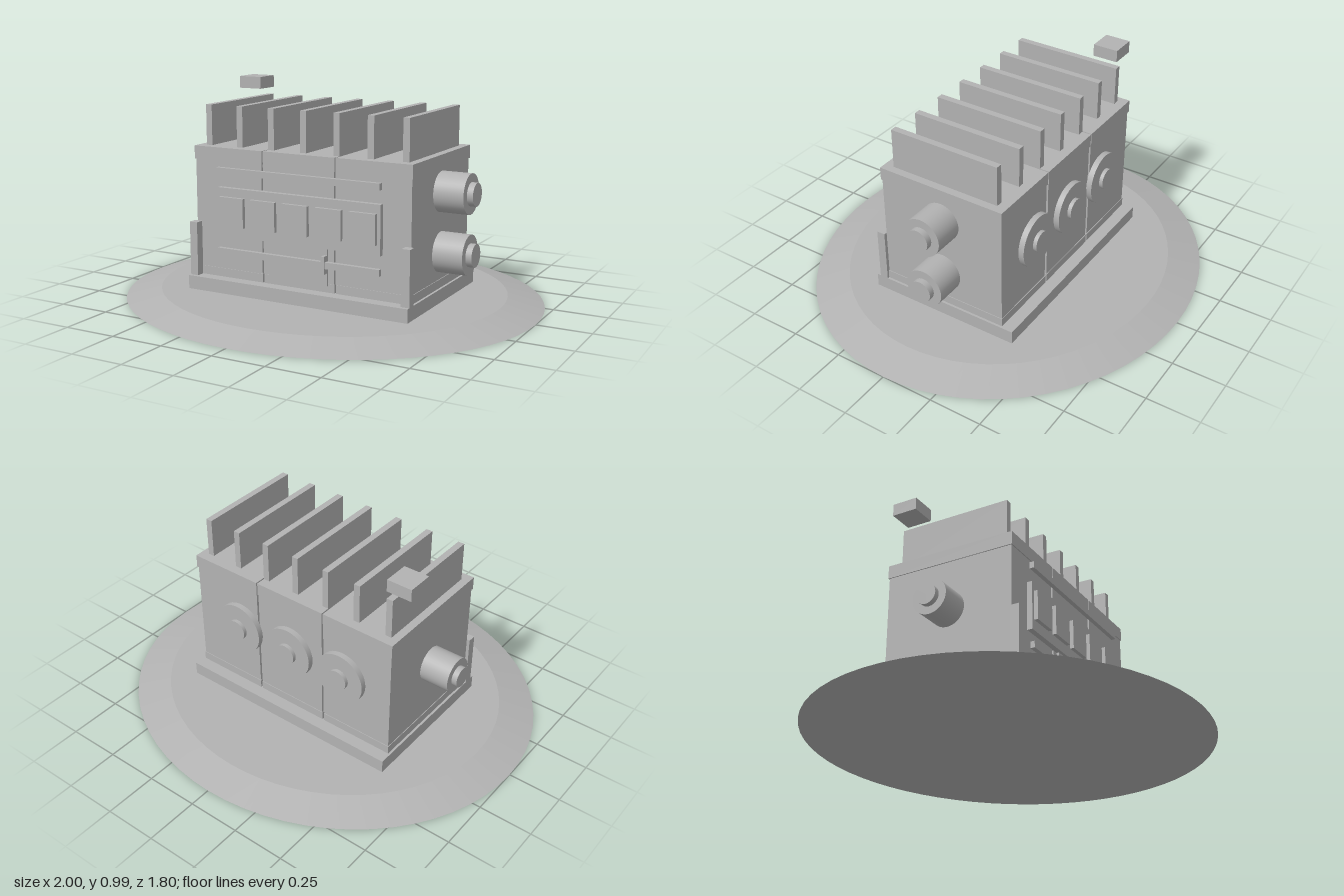
import * as THREE from 'three';

export function createModel() {
  const model = new THREE.Group();
  const grey = new THREE.MeshStandardMaterial({ color: 0xb2b2b2 });
  grey.name = 'concrete grey';

  const add = (name, geometry, parent = model) => {
    const mesh = new THREE.Mesh(geometry, grey);
    mesh.name = name;
    parent.add(mesh);
    return mesh;
  };
  // Box given by its extents on each axis
  const box = (name, [x0, x1], [y0, y1], [z0, z1]) =>
    add(name, new THREE.BoxGeometry(x1 - x0, y1 - y0, z1 - z0))
      .position.set((x0 + x1) / 2, (y0 + y1) / 2, (z0 + z1) / 2);
  const around = (c, w) => [c - w / 2, c + w / 2];

  // Oval ground pad with a sloping rim, and the plinth on it
  const pad = new THREE.CylinderGeometry(0.83, 1, 0.042, 64);
  pad.scale(1, 1, 0.9);
  add('groundPad', pad).position.y = 0.021;
  box('plinth', [-0.563, 0.563], [0.04, 0.105], [-0.372, 0.372]);

  // Three wall modules with slim bands at top and bottom, around a recessed core
  box('core', [-0.53, 0.53], [0.1, 0.7], [-0.3, 0.3]);
  for (const x of [-0.371, 0, 0.371]) {
    box('module', around(x, 0.356), [0.105, 0.7], [-0.311, 0.311]);
    box('moduleTopBand', around(x, 0.365), [0.65, 0.712], [-0.316, 0.316]);
    box('moduleFootBand', around(x, 0.362), [0.105, 0.145], [-0.314, 0.314]);
  }

  // Roof fins and the small block above the back corner
  for (let i = -3; i <= 3; i++) box('roofFin', around(i * 0.167, 0.031), [0.71, 0.9], [-0.27, 0.27]);
  box('floatingBlock', [-0.605, -0.484], [0.935, 0.993], [-0.27, -0.147]);

  // Front panel with five windows, rails, door and handle
  box('windowPanel', [-0.415, 0.415], [0.307, 0.532], [0.305, 0.336]);
  for (let i = -2; i <= 2; i++) box('window', around(i * 0.167, 0.13), [0.355, 0.492], [0.33, 0.354]);
  for (const y of [0.235, 0.61]) box('frontRail', [-0.415, 0.415], around(y, 0.03), [0.325, 0.346]);
  box('door', [-0.148, 0.148], [0.135, 0.32], [0.305, 0.322]);
  box('doorHandle', [0.134, 0.15], [0.195, 0.276], [0.32, 0.352]);
  for (const s of [-1, 1]) box('cornerPost', around(s * 0.543, 0.04), [0.105, 0.358], [0.313, 0.354]);

  // Stepped round fitting: wide drum plus a smaller hub, pointing along +y
  const fitting = (name, r, length, hubR, hubLength) => {
    const group = new THREE.Group();
    group.name = name;
    add('drum', new THREE.CylinderGeometry(r, r, length, 40), group).position.y = length / 2;
    add('hub', new THREE.CylinderGeometry(hubR, hubR, hubLength, 32), group).position.y = length + hubLength / 2;
    model.add(group);
    return group;
  };
  for (const y of [0.272, 0.546]) {
    const port = fitting('leftPort', 0.092, 0.145, 0.053, 0.028);
    port.position.set(0.545, y, 0);
    port.rotation.z = -Math.PI / 2;
  }
  const port = fitting('rightPort', 0.082, 0.145, 0.047, 0.026);
  port.position.set(-0.545, 0.421, 0);
  port.rotation.z = Math.PI / 2;
  for (const x of [-0.293, 0, 0.293]) {
    const disc = fitting('backDisc', 0.125, 0.028, 0.05, 0.018);
    disc.position.set(x, 0.421, -0.31);
    disc.rotation.x = -Math.PI / 2;
  }
  return model;
}
